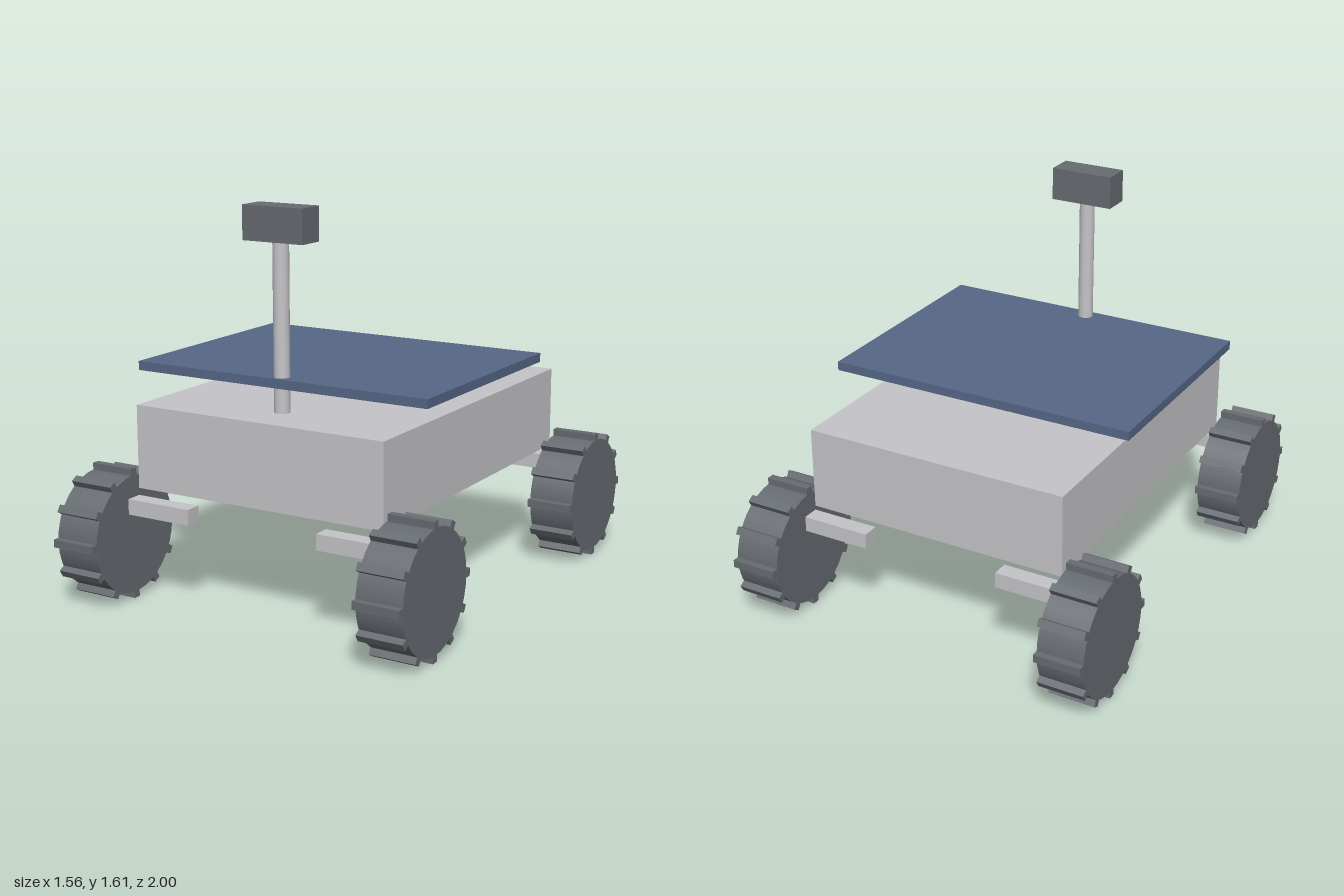
import * as THREE from 'three';

const material = (name, color) => {
  const m = new THREE.MeshStandardMaterial({ color });
  m.name = name;
  return m;
};

export function createModel() {
  const rover = new THREE.Group();
  rover.name = 'rover';
  const shell = material('light grey', 0xc5c5c9);
  const dark = material('dark grey', 0x676c72);
  const blue = material('panel blue', 0x566786);

  const add = (parent, name, geometry, mat, x, y, z) => {
    const mesh = new THREE.Mesh(geometry, mat);
    mesh.name = name;
    mesh.position.set(x, y, z);
    parent.add(mesh);
    return mesh;
  };
  const box = (w, h, d) => new THREE.BoxGeometry(w, h, d);

  // Chassis, solar panel and camera mast
  add(rover, 'body', box(1.122, 0.34, 1.46), shell, 0, 0.633, 0);
  add(rover, 'solarPanel', box(1.32, 0.037, 0.975), blue, 0, 0.924, 0.097);
  add(rover, 'mast', new THREE.CylinderGeometry(0.032, 0.032, 0.67, 20), shell, 0, 1.137, 0.54);
  add(rover, 'cameraHead', box(0.27, 0.136, 0.117), dark, 0, 1.537, 0.54);

  // Four wheels with cleats, each carried by a short arm
  const wheelWidth = 0.193, radius = 0.243, cleats = 12;
  const drum = new THREE.CylinderGeometry(radius, radius, wheelWidth, 32).rotateZ(Math.PI / 2);
  const cleat = box(wheelWidth, 0.054, 0.032);
  for (const side of [1, -1]) {
    for (const end of [1, -1]) {
      const label = (end > 0 ? 'front' : 'rear') + (side > 0 ? 'Left' : 'Right');
      const wheel = new THREE.Group();
      wheel.name = label + 'Wheel';
      wheel.position.set(side * 0.683, 0.27, end * 0.73);
      add(wheel, 'drum', drum, dark, 0, 0, 0);
      for (let i = 0; i < cleats; i++) {
        const a = (i / cleats) * Math.PI * 2;
        const r = radius;
        add(wheel, 'cleat', cleat, dark, 0, r * Math.cos(a), r * Math.sin(a)).rotation.x = a;
      }
      rover.add(wheel);
      add(rover, label + 'Arm', box(0.32, 0.064, 0.07), shell, side * 0.455, 0.39, end * 0.733);
    }
  }
  return rover;
}
